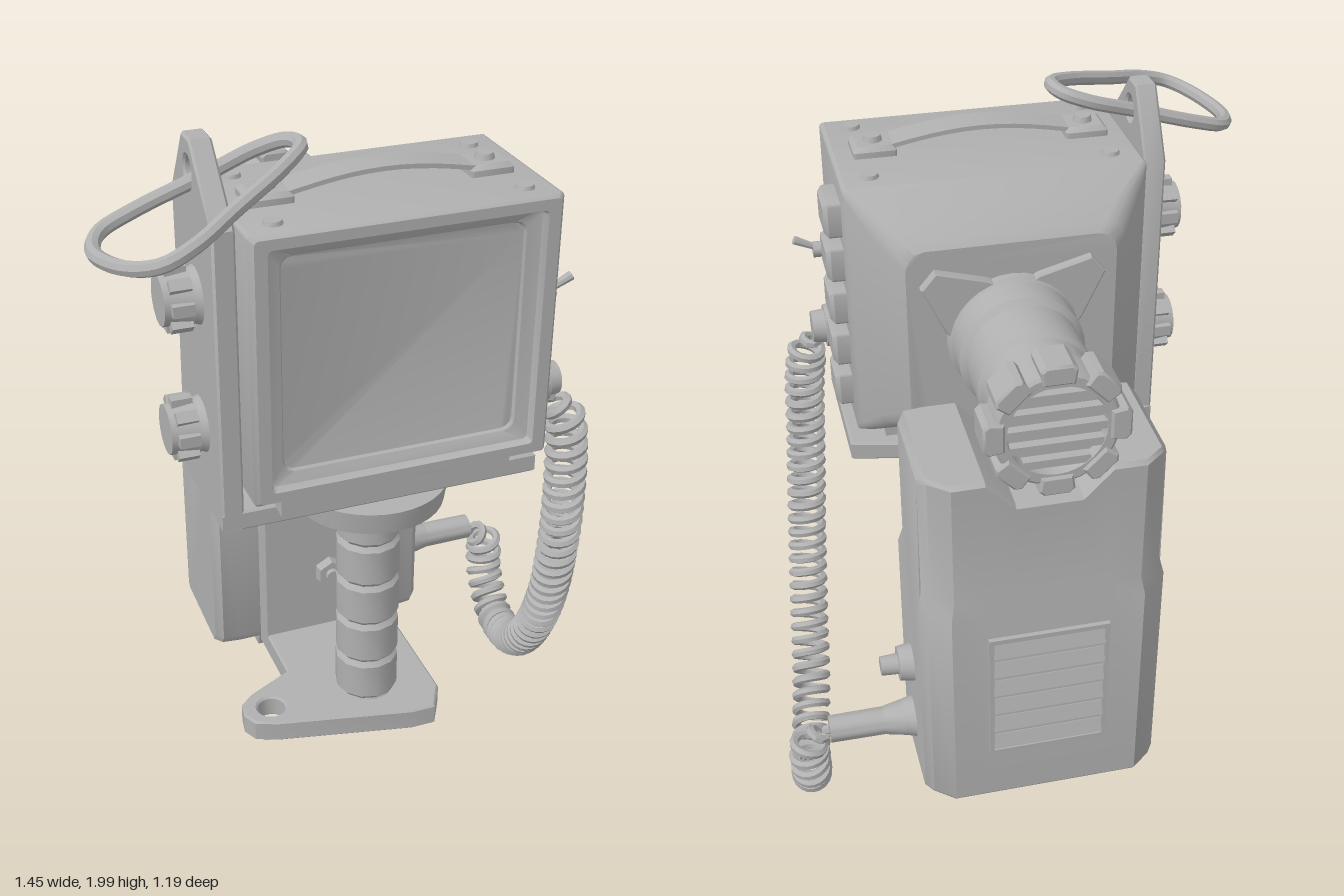
import * as THREE from 'three';
import { toCreasedNormals } from 'three/addons/utils/BufferGeometryUtils.js';

const PI = Math.PI;
const V = (x, y, z) => new THREE.Vector3(x, y, z);

// Skin through cross-section loops, capped at both ends
function loft(sections) {
  const pos = [];
  const tri = (a, b, c) => pos.push(...a.toArray(), ...b.toArray(), ...c.toArray());
  const n = sections[0].length;
  for (let i = 0; i < sections.length - 1; i++) {
    const s = sections[i], t = sections[i + 1];
    for (let j = 0; j < n; j++) {
      const k = (j + 1) % n;
      tri(s[j], s[k], t[k]);
      tri(s[j], t[k], t[j]);
    }
  }
  const first = sections[0], last = sections[sections.length - 1];
  for (let j = 1; j < n - 1; j++) {
    tri(first[0], first[j + 1], first[j]);
    tri(last[0], last[j], last[j + 1]);
  }
  const g = new THREE.BufferGeometry();
  g.setAttribute('position', new THREE.Float32BufferAttribute(pos, 3));
  return g;
}

// Rounded rectangle loop at depth z
function loop(x0, x1, y0, y1, r, z) {
  const pts = [];
  [[x1 - r, y1 - r, 0], [x0 + r, y1 - r, 1], [x0 + r, y0 + r, 2], [x1 - r, y0 + r, 3]].forEach(([cx, cy, q]) => {
    for (let i = 0; i <= 3; i++) {
      const a = (q + i / 3) * PI / 2;
      pts.push(V(cx + r * Math.cos(a), cy + r * Math.sin(a), z));
    }
  });
  return pts;
}

// Small block with a chamfered face toward +z
const pad = (w, h, d, c = 0.012) => loft([
  loop(-w / 2, w / 2, -h / 2, h / 2, 0.006, 0),
  loop(-w / 2, w / 2, -h / 2, h / 2, 0.006, d - c),
  loop(-w / 2 + c, w / 2 - c, -h / 2 + c, h / 2 - c, 0.004, d)]);

function slab(points, depth, holes = [], bevel = 0.006) {
  const s = new THREE.Shape(points.map(p => new THREE.Vector2(...p)));
  holes.forEach(([x, y, r]) => s.holes.push(new THREE.Path().absarc(x, y, r, 0, 2 * PI, true)));
  return new THREE.ExtrudeGeometry(s, {
    depth: depth - 2 * bevel, bevelEnabled: true, bevelSize: bevel, bevelThickness: bevel,
    bevelOffset: -bevel, bevelSegments: 1, curveSegments: 10,
  }).translate(0, 0, bevel);
}

// Coil wound around a guide path, tapering into it at both ends
class Coil extends THREE.Curve {
  constructor(path, radius, turns) {
    super();
    Object.assign(this, { path, radius, turns });
  }
  getPoint(t, out = V(0, 0, 0)) {
    const tan = this.path.getTangentAt(t);
    const side = V(1, 0, 0).addScaledVector(tan, -tan.x).normalize();
    const up = tan.clone().cross(side);
    const r = this.radius * Math.min(1, t * 22, (1 - t) * 22);
    const a = t * this.turns * 2 * PI;
    return out.copy(this.path.getPointAt(t)).addScaledVector(side, r * Math.cos(a)).addScaledVector(up, r * Math.sin(a));
  }
}

export function createModel() {
  const model = new THREE.Group();
  const grey = new THREE.MeshStandardMaterial({ color: 0xb0b0b0 });
  const add = (name, geo, x = 0, y = 0, z = 0) => {
    const m = new THREE.Mesh(toCreasedNormals(geo, 0.6), grey);
    m.name = name;
    m.position.set(x, y, z);
    model.add(m);
    return m;
  };
  const box = (name, w, h, d, x, y, z) => add(name, new THREE.BoxGeometry(w, h, d), x, y, z);
  // Cylinder on an axis; r1 is the radius at its positive end
  const cyl = (name, axis, r1, r0, len, x, y, z, seg = 24) => {
    const g = new THREE.CylinderGeometry(r1, r0, len, seg);
    if (axis === 'x') g.rotateZ(-PI / 2);
    if (axis === 'z') g.rotateX(PI / 2);
    return add(name, g, x, y, z);
  };
  const CX = 0.02, LY = 1.48;

  // Monitor head: tapered back, bevelled front, recessed screen
  const head = (inset, z, r) => loop(-0.38 + inset, 0.42 - inset, 1.125 + inset * 0.85, 1.847 - inset * 0.85, r, z);
  add('monitorHead', loft([
    head(0.125, -0.122, 0.05), head(0.1, -0.1, 0.05), head(0.06, -0.04, 0.045), head(0.012, 0.025, 0.025), head(0, 0.05, 0.012),
    head(0, 0.488, 0.012), head(0.012, 0.503, 0.012), head(0.044, 0.503, 0.012), head(0.05, 0.48, 0.012),
    head(0.083, 0.468, 0.03), head(0.088, 0.46, 0.03)]));

  // Carrying strap on top
  for (const x of [-0.268, 0.305]) {
    add('strapPad', pad(0.115, 0.11, 0.03).rotateX(-PI / 2), x, 1.845, 0.28);
    cyl('strapRivet', 'y', 0.022, 0.028, 0.02, x, 1.88, 0.28, 12);
  }
  const strap = [];
  for (let i = 0; i <= 12; i++) {
    const u = i / 12, x = -0.25 + 0.54 * u, y = 1.862 + 0.036 * Math.sin(PI * u);
    strap.push([V(x, y - 0.006, 0.24), V(x, y + 0.006, 0.24), V(x, y + 0.006, 0.325), V(x, y - 0.006, 0.325)]);
  }
  add('carryStrap', loft(strap));
  for (const x of [-0.3, 0.34]) for (const z of [0.115, 0.435]) cyl('topScrew', 'y', 0.022, 0.026, 0.012, x, 1.851, z, 12);

  // Controls on the +x side
  for (let i = 0; i < 5; i++) add('sideButton', pad(0.13, 0.096, 0.05).rotateY(PI / 2), 0.416, 1.738 - i * 0.128, 0.165);
  add('togglePlate', pad(0.125, 0.24, 0.012, 0.004).rotateY(PI / 2), 0.415, 1.527, 0.372);
  for (const y of [1.43, 1.625]) for (const z of [0.325, 0.42]) cyl('plateScrew', 'x', 0.009, 0.009, 0.008, 0.429, y, z, 8);
  cyl('toggleNut', 'x', 0.045, 0.05, 0.025, 0.437, 1.525, 0.372, 6);
  cyl('toggleCollar', 'x', 0.022, 0.022, 0.03, 0.46, 1.525, 0.372, 12);
  cyl('toggleLever', 'x', 0.013, 0.008, 0.085, 0.487, 1.542, 0.372, 8).rotation.z = 0.45;
  cyl('socketRing', 'x', 0.06, 0.066, 0.04, 0.438, 1.275, 0.38);
  cyl('socketPlug', 'x', 0.045, 0.05, 0.05, 0.47, 1.275, 0.38);

  // Side plate with pointed top, and its two knobs
  add('sidePlate', slab([[0.41, 1.01], [0.41, 1.83], [0.245, 2], [0.18, 2], [0.07, 1.83], [0.07, 1.01]], 0.058, [[0.225, 1.92, 0.035]]).rotateY(-PI / 2), -0.382, 0, 0);
  for (const y of [1.61, 1.25]) {
    cyl('knobBase', 'x', 0.075, 0.065, 0.025, -0.452, y, 0.25);
    cyl('knob', 'x', 0.075, 0.066, 0.075, -0.497, y, 0.25, 16);
    for (let i = 0; i < 8; i++) {
      const a = i * PI / 4;
      box('knobRidge', 0.055, 0.03, 0.03, -0.492, y + 0.071 * Math.cos(a), 0.25 + 0.071 * Math.sin(a)).rotation.x = a;
    }
  }

  // Loose hanging loop through the side plate, lying in a tilted plane
  const ring = [[-0.705, 0.37], [-0.67, 0.285], [-0.58, 0.255], [-0.4, 0.238], [-0.27, 0.222], [-0.2, 0.245], [-0.185, 0.305],
    [-0.25, 0.375], [-0.4, 0.475], [-0.52, 0.555], [-0.6, 0.572], [-0.665, 0.51]];
  add('hangingLoop', new THREE.TubeGeometry(
    new THREE.CatmullRomCurve3(ring.map(([x, z]) => V(x, 1.81 + (x + 0.705) * 0.32, z)), true), 72, 0.019, 8, true));

  // Stand: shelf, upright back plate, foot and grip column
  box('headRiser', 0.635, 0.075, 0.37, CX, 1.095, 0.27);
  const floor = (name, pts, y, h, holes) => add(name, slab(pts.map(([x, z]) => [x, -z]), h, holes).rotateX(-PI / 2), 0, y, 0);
  floor('shelf', [[-0.44, 0.41], [0.44, 0.41], [0.44, 0.07], [0.215, 0.02], [0.215, -0.125], [-0.18, -0.125], [-0.18, 0.02], [-0.44, 0.07]], 1.01, 0.056);
  box('backPlate', 0.395, 0.82, 0.07, 0.0175, 0.63, -0.092);
  floor('foot', [[-0.18, -0.127], [-0.18, 0.12], [-0.31, 0.185], [-0.352, 0.22], [-0.36, 0.27], [-0.34, 0.31], [-0.28, 0.335],
    [0.1, 0.42], [0.17, 0.42], [0.215, 0.34], [0.215, -0.127]], 0.212, 0.068, [[-0.275, -0.26, 0.04]]);
  const grip = [new THREE.Vector2(0.085, 0.27)];
  for (let i = 0; i < 5; i++) for (const [r, d] of [[0.078, 0], [0.09, 0.014], [0.09, 0.118], [0.078, 0.132]]) grip.push(new THREE.Vector2(r, 0.285 + i * 0.132 + d));
  add('gripColumn', new THREE.LatheGeometry(grip, 12), CX, 0, 0.255);
  cyl('columnDisc', 'y', 0.215, 0.205, 0.065, CX, 0.975, 0.255, 36);
  for (const y of [0.735, 0.48]) {
    cyl('plateNut', 'z', 0.042, 0.048, 0.03, CX, y, -0.045, 6);
    cyl('nutStud', 'z', 0.02, 0.02, 0.03, CX, y, -0.03, 12);
  }

  // Battery case with chamfered corners and a trough below the lens
  const caseCols = [[-0.315, -0.17, -0.47, 1.29], [-0.295, -0.145, -0.5, 1.31], [-0.24, -0.138, -0.545, 1.31], [-0.15, -0.138, -0.545, 1.31],
    [-0.07, -0.138, -0.545, 1.23], [0.11, -0.138, -0.545, 1.23], [0.19, -0.138, -0.545, 1.31], [0.28, -0.138, -0.545, 1.31],
    [0.335, -0.145, -0.5, 1.31], [0.355, -0.17, -0.47, 1.29]];
  add('batteryCase', loft(caseCols.map(([x, zf, zb, top]) => {
    const ux = CX + (x - CX) * 0.965, uf = zf - 0.012, ub = zb + 0.012;
    return [V(x, 0.225, zb + 0.012), V(x, 0.24, zb), V(x, 0.89, zb), V(ux, 0.94, ub), V(ux, top - 0.01, ub), V(ux, top, ub + 0.012),
      V(ux, top, uf - 0.01), V(ux, top - 0.01, uf), V(ux, 0.94, uf), V(x, 0.89, zf), V(x, 0.24, zf), V(x, 0.212, zf - 0.015)];
  })));
  for (const x of [-0.16, -0.04, 0.08, 0.2]) {
    add('bottomRib', slab([[-0.48, 0.17], [-0.5, 0.225], [-0.15, 0.225], [-0.165, 0.17]], 0.037, [], 0.003).rotateY(-PI / 2), x + 0.0185, 0, 0);
  }

  // Louvred vent on the case back
  for (const s of [-1, 1]) {
    box('ventSide', 0.014, 0.41, 0.02, CX + s * 0.158, 0.61, -0.548);
    box('ventEnd', 0.33, 0.014, 0.02, CX, 0.61 + s * 0.2, -0.548);
  }
  for (let i = 0; i < 6; i++) box('ventSlat', 0.305, 0.045, 0.014, CX, 0.445 + i * 0.066, -0.549).rotation.x = 0.3;

  // Case push button and cord plug
  cyl('caseButtonBase', 'x', 0.048, 0.055, 0.04, 0.373, 0.56, -0.305);
  cyl('caseButton', 'x', 0.027, 0.03, 0.055, 0.415, 0.56, -0.305, 16);
  cyl('plugFlange', 'x', 0.052, 0.06, 0.03, 0.37, 0.35, -0.305);
  cyl('plugCone', 'x', 0.04, 0.052, 0.06, 0.415, 0.35, -0.305);
  cyl('plugBody', 'x', 0.039, 0.04, 0.16, 0.52, 0.35, -0.305);

  // Coiled cord from socket to plug
  const path = new THREE.CatmullRomCurve3([V(0.48, 1.25, 0.39), V(0.515, 1.16, 0.418), V(0.54, 0.87, 0.405), V(0.565, 0.6, 0.34), V(0.59, 0.36, 0.235),
    V(0.615, 0.17, 0.09), V(0.642, 0.075, -0.06), V(0.655, 0.073, -0.18), V(0.66, 0.18, -0.275), V(0.655, 0.3, -0.295), V(0.6, 0.35, -0.305)]);
  add('coiledCord', new THREE.TubeGeometry(new Coil(path, 0.047, 42), 760, 0.0135, 6));

  // Lens barrel on the back, with a three-armed mount
  for (const a of [40, 140, 270]) {
    add('mountArm', slab([[0, -0.11], [0.16, -0.09], [0.29, -0.03], [0.29, 0.03], [0.16, 0.09], [0, 0.11]], 0.035, [], 0.005), CX, LY, -0.145).rotation.z = a * PI / 180;
  }
  const barrel = [[0, 0.11], [0.175, 0.11], [0.175, 0.14], [0.165, 0.15], [0.165, 0.235], [0.15, 0.25], [0.15, 0.38], [0.14, 0.392], [0.14, 0.49],
    [0.158, 0.5], [0.158, 0.585], [0.15, 0.592], [0.125, 0.592], [0.12, 0.565], [0, 0.565]];
  add('lensBarrel', new THREE.LatheGeometry(barrel.map(p => new THREE.Vector2(...p)), 32).rotateX(-PI / 2), CX, LY, 0);
  for (let i = 0; i < 8; i++) {
    add('capTooth', slab([[0.13, -0.04], [0.17, -0.046], [0.183, -0.032], [0.183, 0.032], [0.17, 0.046], [0.13, 0.04]], 0.105, [], 0.006), CX, LY, -0.6).rotation.z = i * PI / 4;
  }
  for (let i = -2; i <= 2; i++) box('capGrilleBar', 2 * Math.sqrt(0.0156 - (i * 0.046) ** 2), 0.022, 0.03, CX, LY + i * 0.046, -0.575);

  return model;
}
